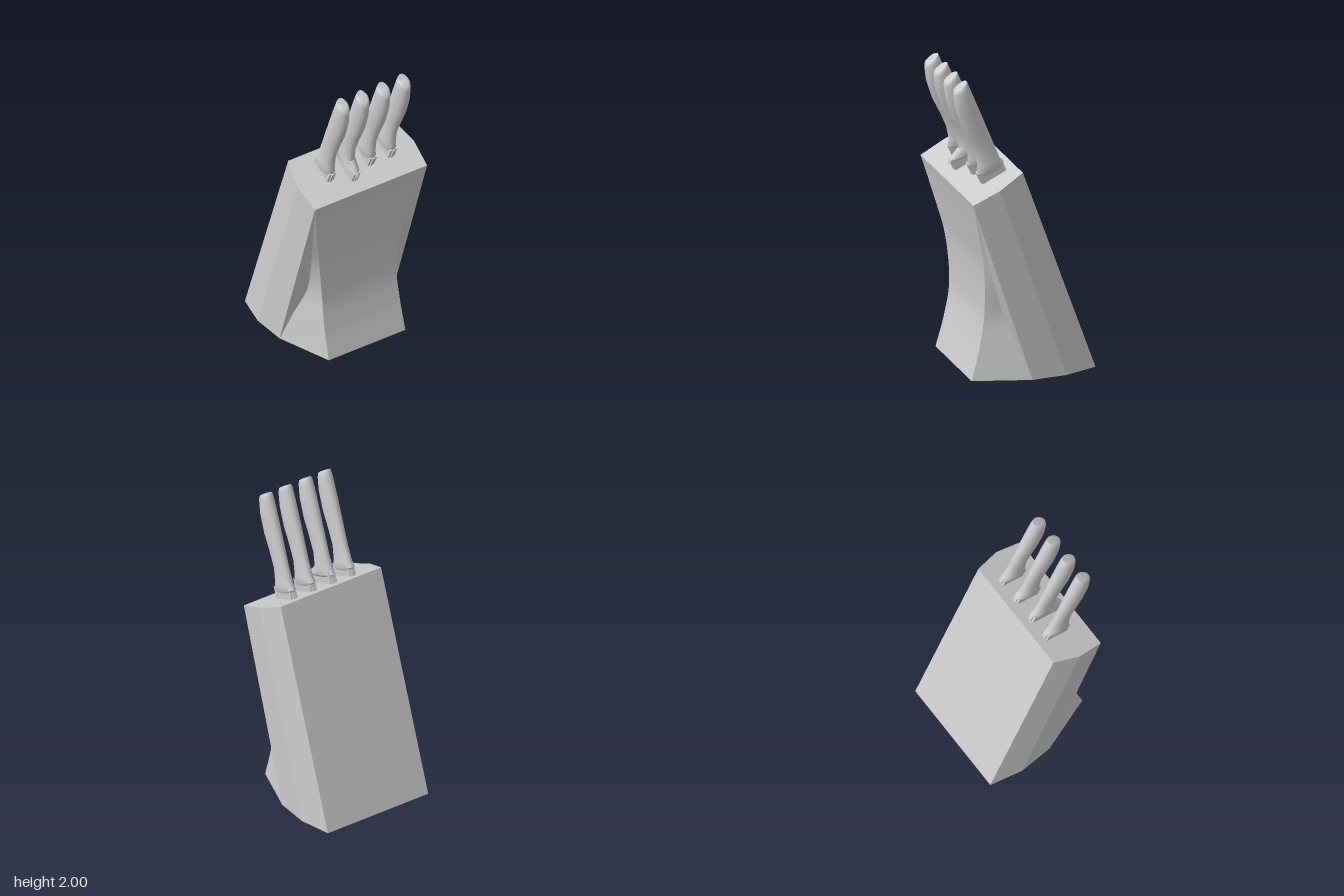
import * as THREE from 'three';
import { toCreasedNormals } from 'three/addons/utils/BufferGeometryUtils.js';

const V = (x, y, z) => new THREE.Vector3(x, y, z);
const material = new THREE.MeshStandardMaterial({ color: 0xcccccc });

// Skin a stack of closed rings (clockwise seen from above) and cap both ends.
function loft(rings, crease) {
  const pos = [];
  const tri = (a, b, c) => {
    const area = b.clone().sub(a).cross(c.clone().sub(a)).length();
    if (area > 1e-8) for (const p of [a, b, c]) pos.push(p.x, p.y, p.z);
  };
  const n = rings[0].length;
  for (let i = 0; i < rings.length - 1; i++) {
    for (let j = 0; j < n; j++) {
      const k = (j + 1) % n, lo = rings[i], hi = rings[i + 1];
      tri(lo[j], hi[j], lo[k]);
      tri(lo[k], hi[j], hi[k]);
    }
  }
  const bottom = rings[0], top = rings[rings.length - 1];
  for (let j = 1; j < n - 1; j++) {
    tri(bottom[0], bottom[j], bottom[j + 1]);
    tri(top[0], top[j + 1], top[j]);
  }
  const g = new THREE.BufferGeometry();
  g.setAttribute('position', new THREE.Float32BufferAttribute(pos, 3));
  return toCreasedNormals(g, crease);
}

function mesh(name, geometry) {
  const m = new THREE.Mesh(geometry, material);
  m.name = name;
  return m;
}

// Leaning block: faceted sides, and a waisted front sweeping out to a foot.
function createBlock() {
  const smooth = pts => new THREE.CatmullRomCurve3(pts, false, 'catmullrom', 0.5);
  const frontEdge = smooth([
    V(0.28, 0, 0.34), V(0.275, 0.22, 0.283), V(0.273, 0.44, 0.252),
    V(0.304, 0.73, 0.267), V(0.355, 0.98, 0.32), V(0.41, 1.24, 0.384)]);
  const innerCrease = smooth([
    V(0.41, 0, -0.01), V(0.36, 0.22, 0.065), V(0.31, 0.44, 0.146),
    V(0.338, 0.73, 0.235), V(0.37, 0.98, 0.306), V(0.41, 1.24, 0.384)]);
  const rings = [];
  const steps = 30;
  for (let i = 0; i <= steps; i++) {
    const edge = frontEdge.getPoint(i / steps), inner = innerCrease.getPoint(i / steps);
    const t = edge.y / 1.24;
    const half = [
      V(0.382, 1.39 * t, -0.44 + 0.483 * t),
      V(0.425, 1.315 * t, -0.23 + 0.443 * t),
      V(0.41, 1.24 * t, -0.01 + 0.394 * t),
      inner, edge];
    rings.push([...half, ...half.map(p => V(-p.x, p.y, p.z)).reverse()]);
  }
  return mesh('block', loft(rings, 0.2));
}

// Handle sections: front z, front y, back z, back y, half width.
const grip = [
  [0.28, 1.41, 0.135, 1.45, 0.043], [0.298, 1.50, 0.17, 1.54, 0.036],
  [0.34, 1.60, 0.212, 1.645, 0.040], [0.393, 1.71, 0.257, 1.76, 0.045],
  [0.43, 1.83, 0.307, 1.885, 0.046], [0.441, 1.92, 0.339, 1.965, 0.042],
  [0.438, 1.945, 0.350, 1.993, 0.037], [0.425, 1.957, 0.354, 2.0, 0.030]];
const plainBolster = [[0.27, 1.345, 0.115, 1.40, 0.036], [0.283, 1.37, 0.108, 1.42, 0.047]];
const longBolster = [[0.348, 1.32, 0.115, 1.40, 0.028], [0.343, 1.34, 0.108, 1.42, 0.045]];

function createKnife(x, long) {
  const knife = new THREE.Group();
  knife.name = 'knife';
  knife.position.x = x;

  const rings = [...(long ? longBolster : plainBolster), ...grip].map(([zf, yf, zb, yb, w]) => {
    const ring = [];
    for (let j = 0; j < 20; j++) {
      const a = j / 20 * Math.PI * 2, s = Math.sin(a) / 2;
      ring.push(V(Math.cos(a) * w, (yf + yb) / 2 + s * (yf - yb), (zf + zb) / 2 + s * (zf - zb)));
    }
    return ring;
  });
  knife.add(mesh('handle', loft(rings, 0.8)));

  // Blade root and its two side collars, entering the slanted top.
  const z0 = 0.095, z1 = long ? 0.31 : 0.258, tilt = 0.415, zm = (z0 + z1) / 2;
  const depth = (z1 - z0) / Math.cos(tilt);
  const addRoot = (name, width, length, dx) => {
    const m = mesh(name, new THREE.BoxGeometry(width, 0.16, length));
    m.position.set(dx, 1.39 - (zm - 0.04) * 0.441, zm);
    m.rotation.x = tilt;
    knife.add(m);
  };
  addRoot('blade', 0.016, depth, 0);
  for (const side of [-1, 1]) addRoot('bladeCollar', 0.014, depth - 0.012, side * 0.017);
  return knife;
}

export function createModel() {
  const model = new THREE.Group();
  model.name = 'knifeBlock';
  model.add(createBlock());
  [-0.213, -0.068, 0.085, 0.233].forEach((x, i) => model.add(createKnife(x, i === 1)));
  return model;
}
